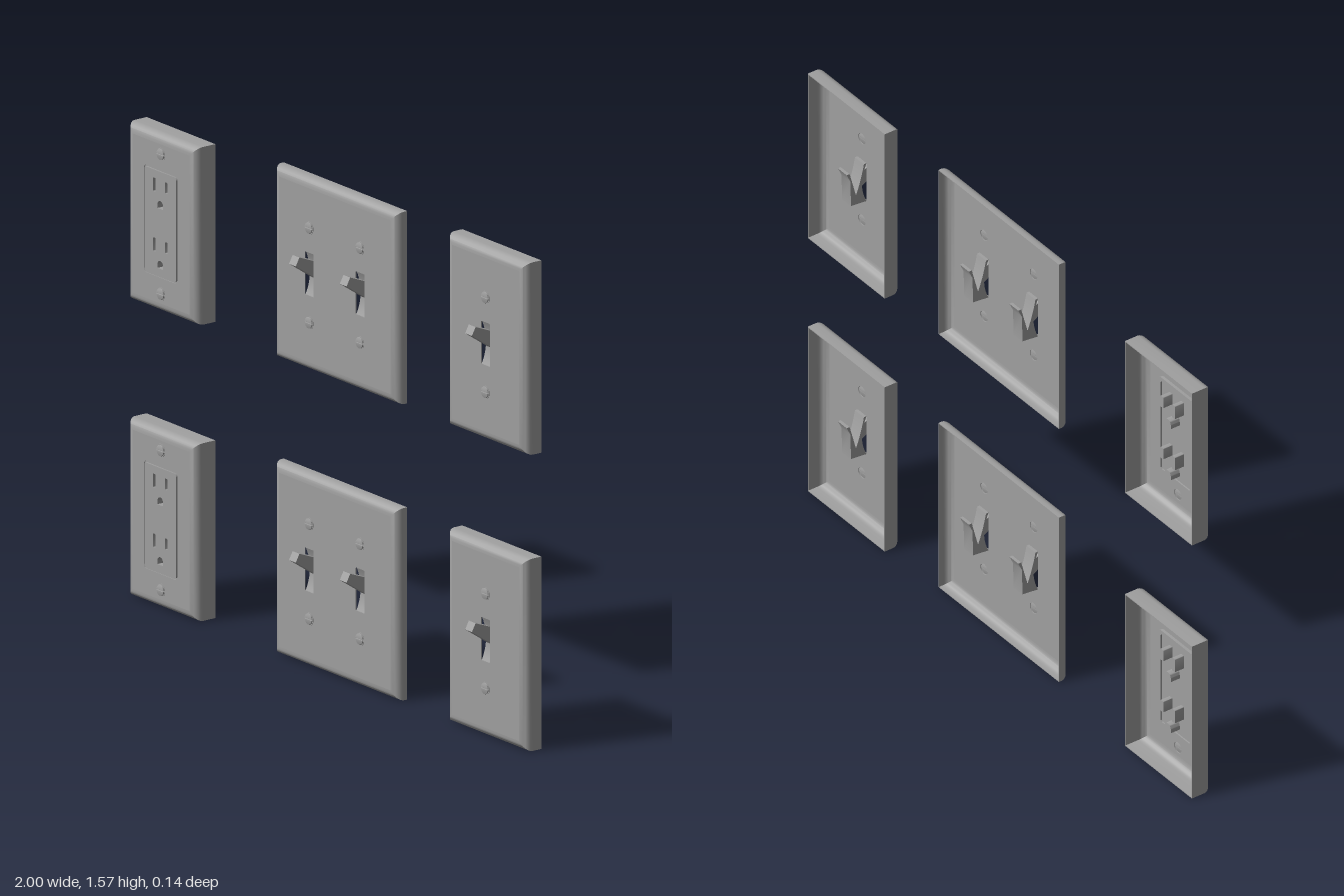
import * as THREE from 'three';
import { toCreasedNormals } from 'three/addons/utils/BufferGeometryUtils.js';

const FRONT = 0.007, WALL = 0.003, ROUND = 0.03;
const mat = new THREE.MeshStandardMaterial({ color: 0xa0a0a0 });

function add(parent, geo, name, x = 0, y = 0, z = 0) {
  const mesh = new THREE.Mesh(geo, mat);
  mesh.name = name;
  mesh.position.set(x, y, z);
  parent.add(mesh);
  return mesh;
}

const extrude = (shape, depth) =>
  toCreasedNormals(new THREE.ExtrudeGeometry(shape, { depth, bevelEnabled: false, curveSegments: 10 }), 0.6);

// side profile of (z, y) given a width along x
const extrudeSide = (shape, width) =>
  extrude(shape, width).translate(0, 0, -width / 2).rotateY(-Math.PI / 2);

// rounded rectangle outline centred on (x, y)
function roundRect(T, x, y, w, h, r) {
  const p = new T(), a = w / 2 - r, b = h / 2 - r;
  p.absarc(x + a, y + b, r, 0, Math.PI / 2);
  p.absarc(x - a, y + b, r, Math.PI / 2, Math.PI);
  p.absarc(x - a, y - b, r, Math.PI, Math.PI * 1.5);
  p.absarc(x + a, y - b, r, Math.PI * 1.5, Math.PI * 2);
  p.closePath();
  return p;
}

// ground hole: flat base with a round top
function arch(T, x, y, r) {
  const p = new T();
  p.moveTo(x - r, y - r * 0.8);
  p.lineTo(x + r, y - r * 0.8);
  p.absarc(x, y, r, 0, Math.PI);
  p.closePath();
  return p;
}

function circle(x, y, r) {
  return new THREE.Path().absarc(x, y, r, 0, Math.PI * 2);
}

// rim of the plate: rectangular loops following a rounded, hollow section
function rimGeometry(w, h, back) {
  const section = [[0, back]];
  const bend = (r, k) => {
    const a = (k / 6) * Math.PI / 2;
    return [ROUND - r * Math.cos(a), FRONT - ROUND + r * Math.sin(a)];
  };
  for (let k = 0; k <= 6; k++) section.push(bend(ROUND, k));
  for (let k = 6; k >= 0; k--) section.push(bend(ROUND - WALL, k));
  section.push([WALL, back], [0, back]);
  const pos = [];
  const corner = ([inset, z], i) => [
    (i === 0 || i === 3 ? -1 : 1) * (w / 2 - inset), (i < 2 ? -1 : 1) * (h / 2 - inset), z];
  for (let s = 0; s < section.length - 1; s++) {
    for (let i = 0; i < 4; i++) {
      const j = (i + 1) % 4;
      const a = corner(section[s], i), b = corner(section[s], j);
      const c = corner(section[s + 1], j), d = corner(section[s + 1], i);
      pos.push(...a, ...b, ...c, ...a, ...c, ...d);
    }
  }
  const geo = new THREE.BufferGeometry();
  geo.setAttribute('position', new THREE.Float32BufferAttribute(pos, 3));
  return toCreasedNormals(geo, 0.6);
}

function addPlate(g, w, h, back, holes) {
  add(g, rimGeometry(w, h, back), 'plateRim');
  const a = w / 2 - ROUND, b = h / 2 - ROUND;
  const face = new THREE.Shape([[-a, -b], [a, -b], [a, b], [-a, b]].map(p => new THREE.Vector2(...p)));
  face.holes.push(...holes);
  add(g, extrude(face, WALL), 'plateFace', 0, 0, FRONT - WALL);
}

// slotted screw head: a disc and two domed halves
function addScrew(g, x, y) {
  const screw = new THREE.Group();
  screw.name = 'screw';
  screw.position.set(x, y, FRONT);
  const disc = new THREE.CylinderGeometry(0.021, 0.021, 0.002, 24).rotateX(Math.PI / 2);
  add(screw, disc, 'screwBase', 0, 0, 0.0005);
  for (const side of [0, Math.PI]) {
    const a = 0.15;
    const half = new THREE.Shape().absarc(0, 0, 0.016, a, Math.PI - a);
    half.closePath();
    const geo = new THREE.ExtrudeGeometry(half, {
      depth: 0.002, bevelSize: 0.002, bevelThickness: 0.002, bevelSegments: 2, curveSegments: 10 });
    add(screw, toCreasedNormals(geo, 0.6), 'screwHalf', 0, 0, 0.001).rotation.z = side;
  }
  g.add(screw);
}

// narrow lever that points up and forward
function leverGeometry() {
  const s = new THREE.Shape();
  s.moveTo(0.058, 0.071);
  s.lineTo(-0.012, 0.043);
  s.lineTo(-0.012, -0.012);
  s.lineTo(0.072, 0.045);
  s.closePath();
  return extrudeSide(s, 0.034);
}

// housing behind the opening: hollowed front, forked top, kinked back
function housingGeometry() {
  const s = new THREE.Shape();
  s.moveTo(0.004, -0.068);
  s.quadraticCurveTo(-0.03, 0, 0.004, 0.074);
  s.lineTo(-0.006, 0.074);
  s.quadraticCurveTo(-0.016, 0.02, -0.036, -0.03);
  s.lineTo(-0.06, 0.06);
  s.lineTo(-0.071, 0.06);
  s.lineTo(-0.057, 0.03);
  s.lineTo(-0.055, -0.062);
  s.closePath();
  return extrudeSide(s, 0.046);
}

function switchPlate(name, w, back, xs) {
  const g = new THREE.Group();
  g.name = name;
  const holes = [];
  for (const x of xs) {
    holes.push(roundRect(THREE.Path, x, 0.003, 0.044, 0.138, 0.003));
    for (const s of [-1, 1]) {
      holes.push(circle(x, s * 0.152, 0.019));
      addScrew(g, x, s * 0.152);
    }
    add(g, leverGeometry(), 'toggleLever', x);
    add(g, housingGeometry(), 'toggleHousing', x);
  }
  addPlate(g, w, 0.617, back, holes);
  return g;
}

function outletPlate() {
  const g = new THREE.Group();
  g.name = 'outletPlate';
  const holes = [roundRect(THREE.Path, 0, 0, 0.17, 0.346, 0.014)];
  for (const s of [-1, 1]) {
    holes.push(circle(0, s * 0.224, 0.019));
    addScrew(g, 0, s * 0.224);
  }
  addPlate(g, 0.345, 0.57, -0.07, holes);

  // raised insert with pockets behind every contact hole
  const insert = roundRect(THREE.Shape, 0, 0, 0.16, 0.336, 0.01);
  for (const y of [0.1, -0.092]) {
    const outlines = [
      (T, e) => roundRect(T, -0.03, y + 0.02, 0.011 + e, 0.044 + e, 0.002),
      (T, e) => roundRect(T, 0.03, y + 0.023, 0.011 + e, 0.036 + e, 0.002),
      (T, e) => arch(T, 0, y - 0.04, 0.014 + e / 2)];
    for (const outline of outlines) {
      insert.holes.push(outline(THREE.Path, 0));
      const sleeve = outline(THREE.Shape, 0.004);
      sleeve.holes.push(outline(THREE.Path, 0));
      add(g, extrude(sleeve, 0.034), 'contactSleeve', 0, 0, -0.033);
      add(g, extrude(outline(THREE.Shape, 0.004), 0.002), 'contactSleeveEnd', 0, 0, -0.035);
    }
  }
  add(g, extrude(insert, 0.011), 'outletInsert', 0, 0, -0.001);
  // ridge that closes the groove around the insert
  const ridge = roundRect(THREE.Shape, 0, 0, 0.18, 0.356, 0.018);
  ridge.holes.push(roundRect(THREE.Path, 0, 0, 0.152, 0.328, 0.008));
  add(g, extrude(ridge, 0.0105), 'insertRidge', 0, 0, -0.006);
  return g;
}

export function createModel() {
  const root = new THREE.Group();
  root.name = 'wallPlates';
  const place = (plate, x, y) => {
    plate.position.set(x, y, 0);
    root.add(plate);
  };
  // two identical rows of three plates
  for (const y of [0, 0.95]) {
    place(outletPlate(), -0.8275, y + 0.285);
    place(switchPlate('doubleSwitchPlate', 0.62, -0.034, [-0.128, 0.127]), 0.045, y + 0.3085);
    place(switchPlate('singleSwitchPlate', 0.397, -0.056, [0]), 0.8015, y + 0.3085);
  }
  return root;
}
